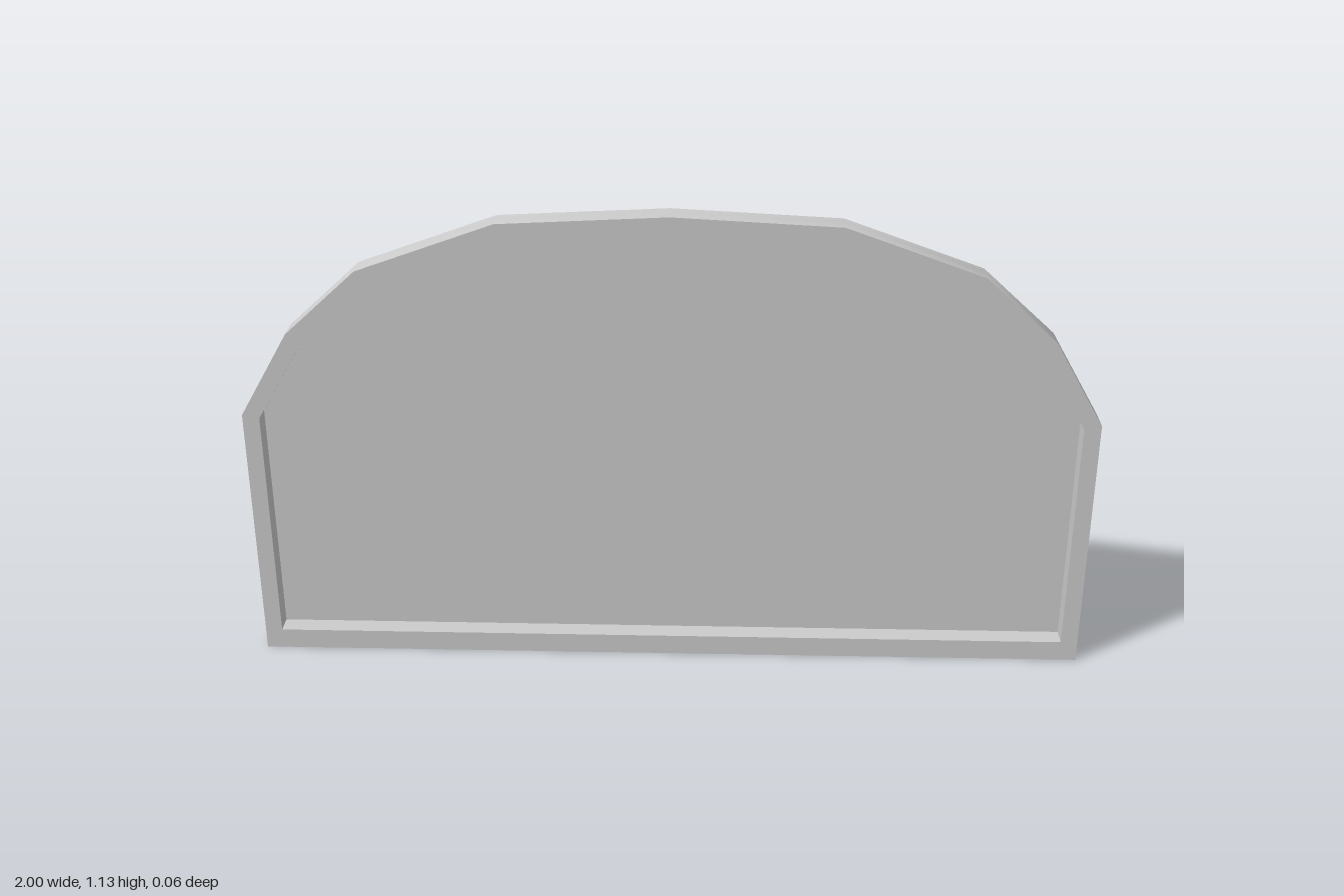
import * as THREE from 'three';
import { toCreasedNormals } from 'three/addons/utils/BufferGeometryUtils.js';

// Right half of each outline, from the bottom corner up to the crown
const OUTER = [[1, 0], [1, 0.635], [0.88, 0.84], [0.71, 0.995], [0.39, 1.11], [0, 1.13]];
const INNER = [[0.96, 0.05], [0.96, 0.627], [0.845, 0.82], [0.685, 0.965], [0.38, 1.073], [0, 1.09]];
const BACK = -0.032, RECESS = -0.016, FRONT = 0.032;

// Mirror a half outline into a full closed arch
function archPoints(half) {
  const mirrored = half.slice(0, -1).reverse().map(([x, y]) => [-x, y]);
  return [...half, ...mirrored].map(([x, y]) => new THREE.Vector2(x, y));
}

// Extrude between two depths, smooth along the arch and sharp at the corners
function slab(name, shape, z0, z1, material) {
  const geometry = new THREE.ExtrudeGeometry(shape, { depth: z1 - z0, bevelEnabled: false });
  geometry.translate(0, 0, z0);
  const mesh = new THREE.Mesh(toCreasedNormals(geometry, 0.5), material);
  mesh.name = name;
  return mesh;
}

export function createModel() {
  const group = new THREE.Group();
  group.name = 'archedPanel';
  const material = new THREE.MeshStandardMaterial({ color: 0xcccccc });

  // Thin backing over the whole outline
  group.add(slab('backPanel', new THREE.Shape(archPoints(OUTER)), BACK, RECESS, material));

  // Raised rim around the recess
  const rim = new THREE.Shape(archPoints(OUTER));
  rim.holes.push(new THREE.Path(archPoints(INNER)));
  group.add(slab('rim', rim, RECESS, FRONT, material));

  return group;
}
